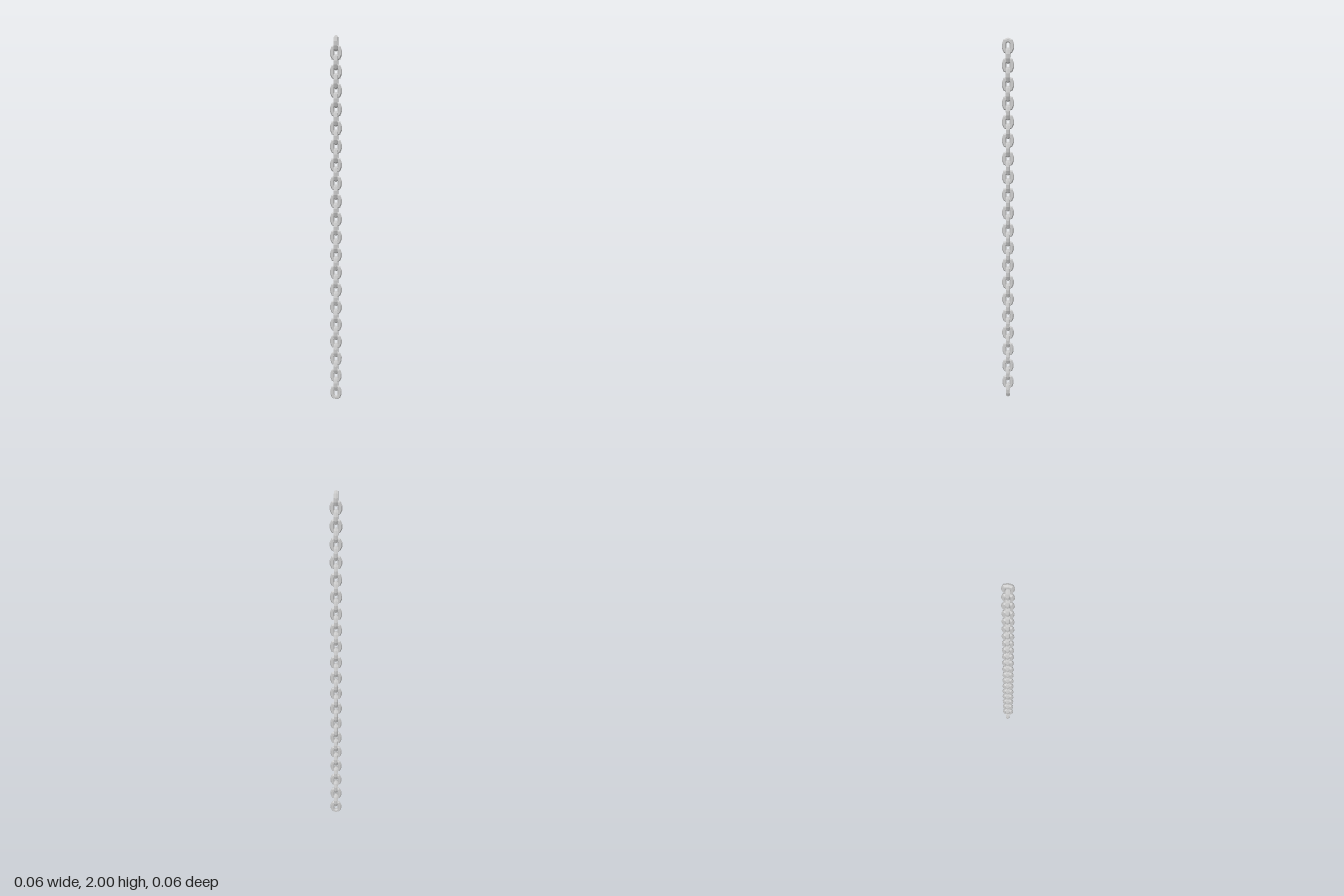
import * as THREE from 'three';

const LINKS = 40;
const HEIGHT = 0.086;   // height of one link
const BEND = 0.02;      // radius of the bar's centre line in the bends
const BAR = 0.012;      // radius of the hexagonal bar
const SIDES = 6;
const STEPS = 10;       // four facets per bend plus two straight sides

// Oblong link in the XY plane: a torus split at its middle and pulled apart
function linkGeometry() {
  const geometry = new THREE.TorusGeometry(BEND, BAR, SIDES, STEPS);
  const position = geometry.attributes.position;
  const stretch = HEIGHT / 2 - BEND - BAR;
  for (let j = 0; j <= SIDES; j++) {
    const v = (j / SIDES) * Math.PI * 2;
    const radius = BEND + BAR * Math.cos(v);
    for (let i = 0; i <= STEPS; i++) {
      const k = i % STEPS;
      const upper = k < STEPS / 2;
      const angle = ((upper ? k : k - 1) * Math.PI) / 4;
      position.setXYZ(
        j * (STEPS + 1) + i,
        radius * Math.cos(angle),
        radius * Math.sin(angle) + (upper ? stretch : -stretch),
        BAR * Math.sin(v)
      );
    }
  }
  const faceted = geometry.toNonIndexed();
  faceted.computeVertexNormals();
  return faceted;
}

export function createModel() {
  const chain = new THREE.Group();
  chain.name = 'chain';
  const geometry = linkGeometry();
  const material = new THREE.MeshStandardMaterial({ color: 0xcccccc, flatShading: true });
  const pitch = (2 - HEIGHT) / (LINKS - 1);

  // Links stacked from the bottom, every second one turned a quarter
  for (let n = 0; n < LINKS; n++) {
    const link = new THREE.Mesh(geometry, material);
    link.name = `link${n + 1}`;
    link.position.y = HEIGHT / 2 + n * pitch;
    link.rotation.y = n % 2 ? Math.PI / 2 : 0;
    chain.add(link);
  }
  return chain;
}
